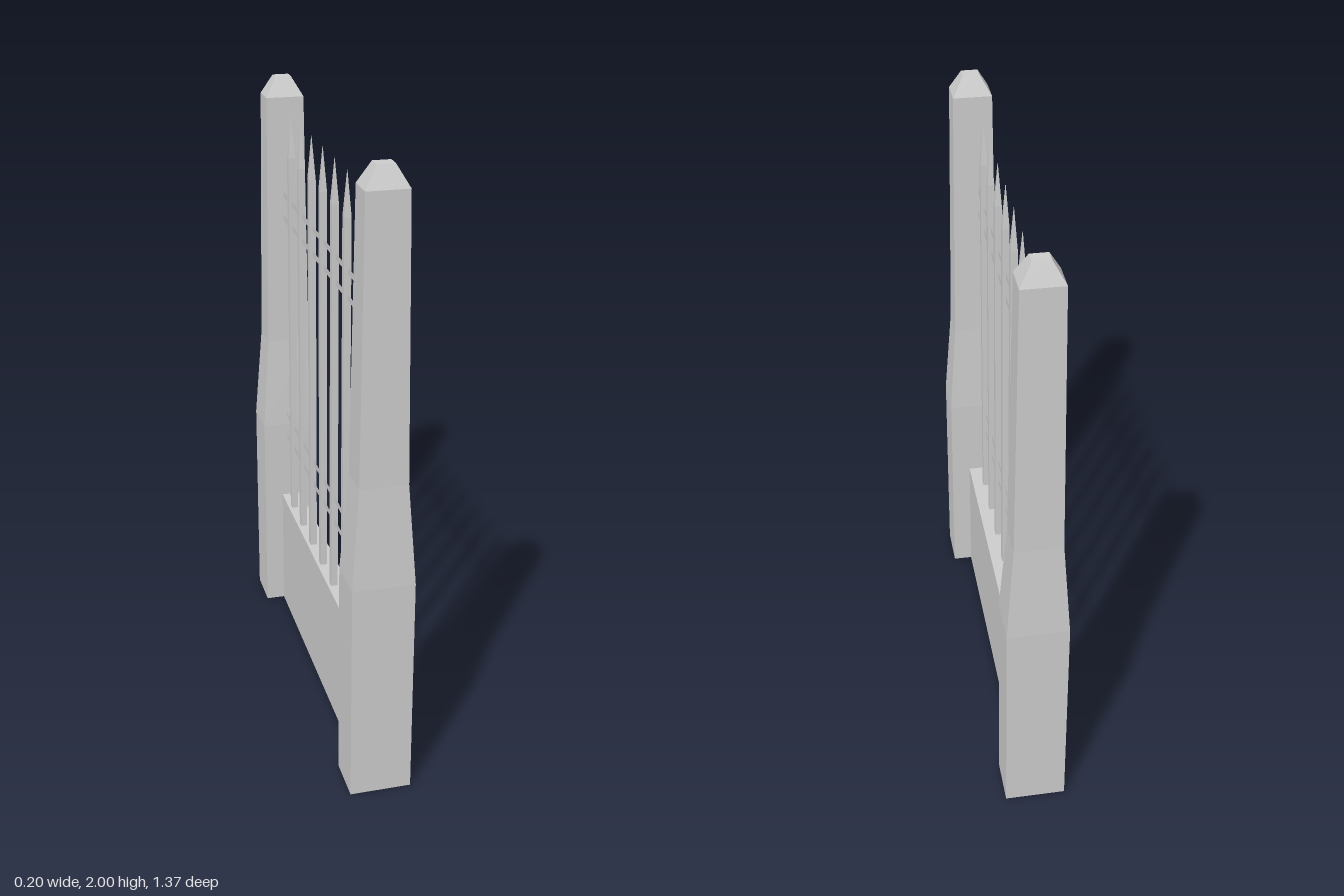
import * as THREE from 'three';

const material = new THREE.MeshStandardMaterial({ color: 0xcccccc, flatShading: true });
const thinMaterial = new THREE.MeshStandardMaterial({ color: 0xcccccc, flatShading: true, side: THREE.DoubleSide });

// Rectangular loft through sections [y, half width in x, half depth in z]
function loft(sections, closeBottom = true) {
  const corners = [[1, 1], [1, -1], [-1, -1], [-1, 1]];
  const rings = sections.map(([y, hx, hz]) => corners.map(([x, z]) => [x * hx, y, z * hz]));
  const positions = [];
  const quad = (a, b, c, d) => positions.push(...a, ...b, ...c, ...a, ...c, ...d);
  for (let i = 0; i < rings.length - 1; i++) {
    for (let k = 0; k < 4; k++) {
      const n = (k + 1) % 4;
      quad(rings[i][k], rings[i][n], rings[i + 1][n], rings[i + 1][k]);
    }
  }
  quad(...rings[rings.length - 1]);
  if (closeBottom) quad(...[...rings[0]].reverse());
  const geometry = new THREE.BufferGeometry();
  geometry.setAttribute('position', new THREE.Float32BufferAttribute(positions, 3));
  geometry.computeVertexNormals();
  return geometry;
}

export function createModel() {
  const group = new THREE.Group();
  const add = (name, geometry, x, y, z, mat = material) => {
    const mesh = new THREE.Mesh(geometry, mat);
    mesh.name = name;
    mesh.position.set(x, y, z);
    group.add(mesh);
    return mesh;
  };

  // Tapered end posts with bevelled caps
  const post = loft([
    [0, 0.098, 0.075], [0.735, 0.098, 0.075], [1.06, 0.075, 0.058],
    [1.935, 0.064, 0.048], [2, 0.027, 0.021],
  ]);
  add('frontPost', post, 0.002, 0, 0.612);
  add('backPost', post, -0.002, 0, -0.612);

  // Low wall between the posts, open underneath
  add('baseWall', loft([[0, 0.035, 0.54], [0.445, 0.035, 0.54]], false), 0, 0, 0, thinMaterial);

  // Seven pointed bars
  const barX = -0.013;
  const bar = loft([[0.44, 0.011, 0.012], [1.76, 0.011, 0.012], [1.9, 0.0005, 0.0005]]);
  for (let i = -3; i <= 3; i++) add('bar', bar, barX, 0, 0.003 + i * 0.1457);

  // Two pairs of flat rails
  for (const [y, length] of [[0.687, 1.08], [0.77, 1.08], [1.517, 1.125], [1.6, 1.125]]) {
    const rail = add('rail', new THREE.PlaneGeometry(length, 0.02), barX, y, 0, thinMaterial);
    rail.rotation.y = Math.PI / 2;
  }

  return group;
}
